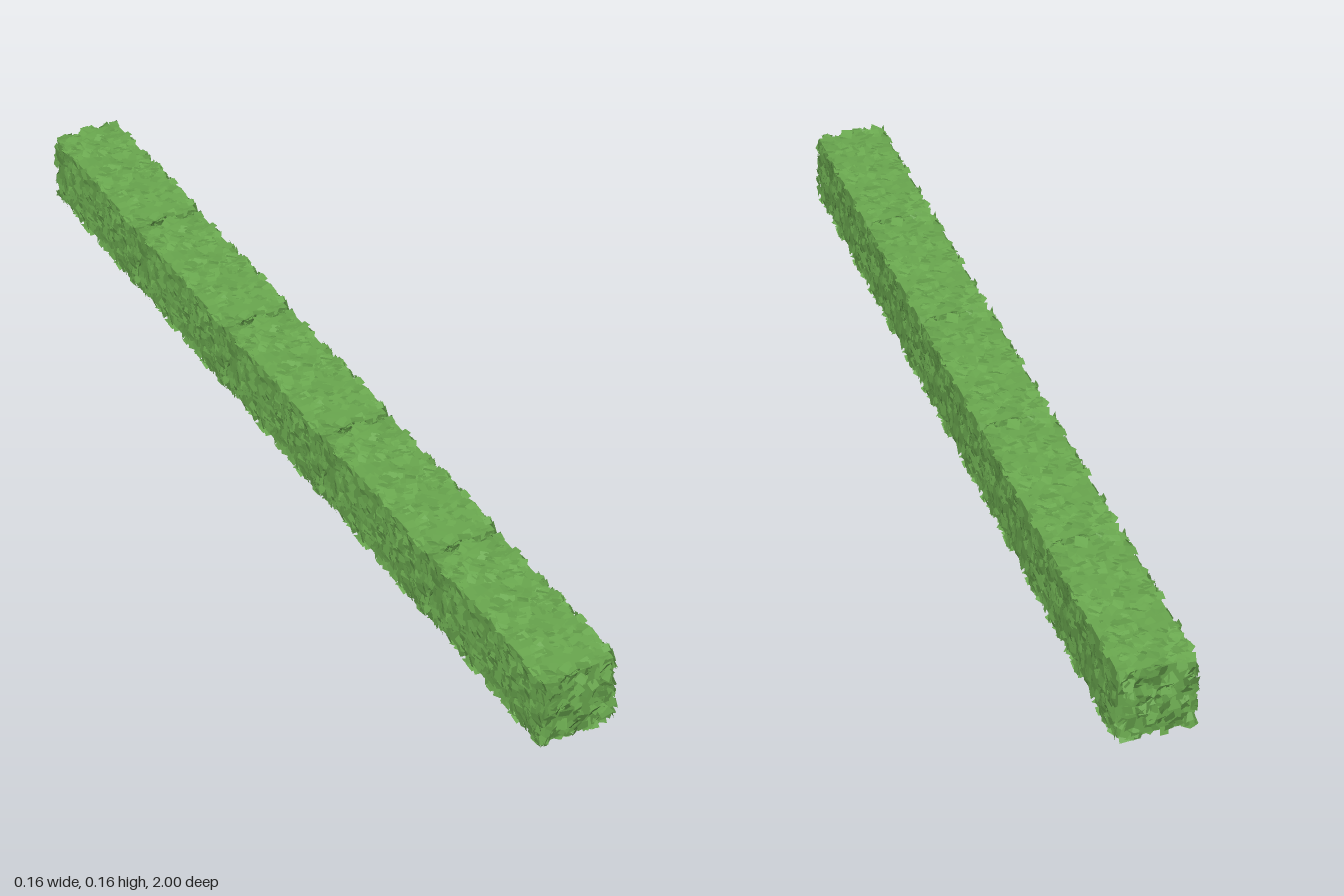
import * as THREE from 'three';
import { mergeGeometries } from 'three/addons/utils/BufferGeometryUtils.js';

const BLOCKS = 5, PITCH = 0.397;
const CORE = new THREE.Vector3(0.07, 0.07, 0.19);     // half size of the inner bush
const LIMIT = new THREE.Vector3(0.078, 0.078, 0.206); // half size including leaves

function seeded(seed) {
  return () => {
    seed = (seed * 1664525 + 1013904223) % 4294967296;
    return seed / 4294967296;
  };
}

// One irregular four-cornered leaf, lying in the xy plane
function leafGeometry(rand) {
  const g = new THREE.PlaneGeometry(1, 1);
  const p = g.attributes.position;
  const size = 0.014 + 0.01 * rand();
  for (let i = 0; i < 4; i++) {
    p.setXY(i, p.getX(i) * size * (0.7 + 0.5 * rand()), p.getY(i) * size * (0.7 + 0.5 * rand()));
  }
  return g;
}

// Leaves scattered evenly over the six faces of one block
function foliageGeometry(seed) {
  const rand = seeded(seed);
  const leaves = [];
  const dummy = new THREE.Object3D();
  const axes = ['x', 'y', 'z'];
  axes.forEach((axis, a) => {
    const [u, v] = axes.filter((n) => n !== axis);
    const count = Math.round(CORE[u] * CORE[v] * 4 * 5500);
    const tilt = axis === 'z' ? 1.1 : 0.7;
    for (const side of [-1, 1]) {
      for (let i = 0; i < count; i++) {
        const pos = new THREE.Vector3();
        pos[axis] = side * (CORE[axis] + 0.001 + 0.005 * rand());
        pos[u] = (rand() * 2 - 1) * (CORE[u] + 0.002);
        pos[v] = (rand() * 2 - 1) * (CORE[v] + 0.002);
        const normal = new THREE.Vector3().setComponent(a, side);
        normal[u] += (rand() - 0.5) * tilt;
        normal[v] += (rand() - 0.5) * tilt;
        dummy.position.copy(pos);
        dummy.lookAt(pos.clone().add(normal));
        dummy.rotateZ(rand() * Math.PI * 2);
        dummy.updateMatrix();
        leaves.push(leafGeometry(rand).applyMatrix4(dummy.matrix));
      }
    }
  });
  const g = mergeGeometries(leaves);
  // Trim the tips so the hedge keeps its clipped outline
  const p = g.attributes.position;
  const corner = new THREE.Vector3();
  const low = LIMIT.clone().negate();
  for (let i = 0; i < p.count; i++) {
    corner.fromBufferAttribute(p, i).clamp(low, LIMIT);
    p.setXYZ(i, corner.x, corner.y, corner.z);
  }
  g.computeVertexNormals();
  return g;
}

export function createModel() {
  const hedge = new THREE.Group();
  hedge.name = 'hedge';
  const green = new THREE.MeshStandardMaterial({ color: 0x6aa84f, flatShading: true, side: THREE.DoubleSide });
  const coreGeometry = new THREE.BoxGeometry(CORE.x * 2, CORE.y * 2, CORE.z * 2);
  const foliage = foliageGeometry(7);

  // Row of identical clipped blocks
  for (let i = 0; i < BLOCKS; i++) {
    const block = new THREE.Group();
    block.name = `hedgeBlock${i + 1}`;
    const core = new THREE.Mesh(coreGeometry, green);
    core.name = 'bushCore';
    const leaves = new THREE.Mesh(foliage, green);
    leaves.name = 'leaves';
    block.add(core, leaves);
    block.position.set(0, LIMIT.y, (i - (BLOCKS - 1) / 2) * PITCH);
    hedge.add(block);
  }
  return hedge;
}
